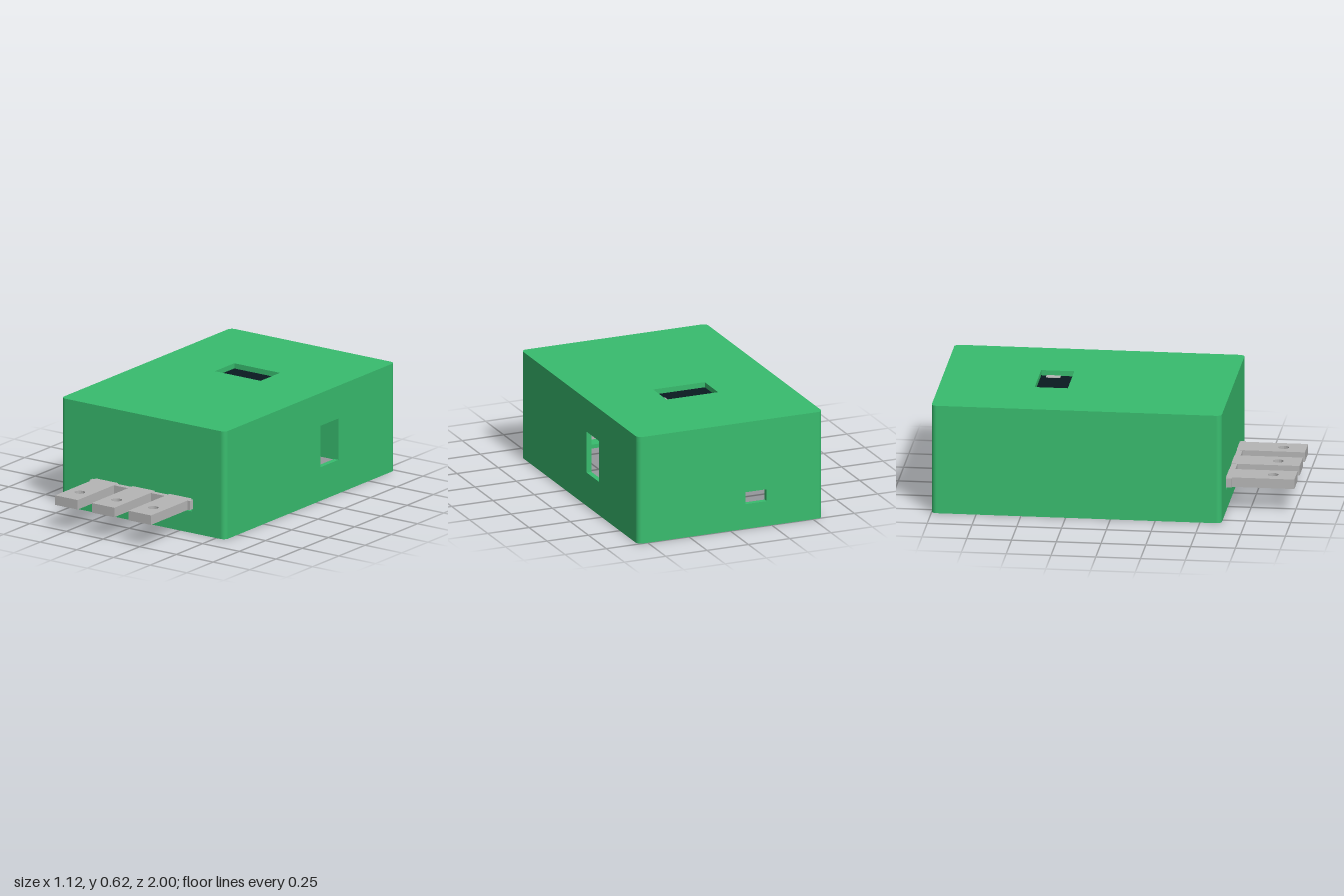
import * as THREE from 'three';

const green = new THREE.MeshStandardMaterial({ color: 0x38bc6e });
green.name = 'green plastic';
const gray = new THREE.MeshStandardMaterial({ color: 0xb6b6b6 });
gray.name = 'gray metal';
const black = new THREE.MeshStandardMaterial({ color: 0x0a1a20 });
black.name = 'dark display';

const T = 0.03;                    // wall thickness and corner radius
const W = 0.56, H = 0.625;         // half width, height
const BACK = -1, FRONT = 0.62;
const MID = (BACK + FRONT) / 2, HALF = (FRONT - BACK) / 2;
const BAYS = [-0.25, 0, 0.25];

function rectPath(target, x0, y0, x1, y1) {
  target.moveTo(x0, y0);
  target.lineTo(x1, y0);
  target.lineTo(x1, y1);
  target.lineTo(x0, y1);
  target.closePath();
  return target;
}

function extrude(shape, depth) {
  return new THREE.ExtrudeGeometry(shape, { depth, bevelEnabled: false, curveSegments: 8 });
}

export function createModel() {
  const model = new THREE.Group();
  model.name = 'deviceEnclosure';

  const add = (name, geometry, material) => {
    const mesh = new THREE.Mesh(geometry, material);
    mesh.name = name;
    model.add(mesh);
    return mesh;
  };
  // Box given by its minimum and maximum corners
  const box = (name, material, x0, x1, y0, y1, z0, z1) =>
    add(name, new THREE.BoxGeometry(x1 - x0, y1 - y0, z1 - z0), material)
      .position.set((x0 + x1) / 2, (y0 + y1) / 2, (z0 + z1) / 2);

  // Upright wall with rectangular openings
  const wall = (name, half, holes, x, z, turn) => {
    const shape = rectPath(new THREE.Shape(), -half, 0, half, H - T);
    holes.forEach((h) => shape.holes.push(rectPath(new THREE.Path(), ...h)));
    const mesh = add(name, extrude(shape, T), green);
    mesh.position.set(x, 0, z);
    mesh.rotation.y = turn;
  };
  wall('frontWall', W - T, BAYS.map((x) => [x - 0.08, 0.125, x + 0.08, 0.2]), 0, FRONT - T, 0);
  wall('backWall', W - T, [[0.09, 0.145, 0.22, 0.215]], 0, BACK + T, Math.PI);
  wall('leftWall', HALF - T, [[0.1, 0.195, 0.27, 0.435]], W - T, MID, Math.PI / 2);
  wall('rightWall', HALF - T, [], -W + T, MID, -Math.PI / 2);

  // Rounded corner posts
  [[1, 1], [1, -1], [-1, -1], [-1, 1]].forEach(([sx, sz], i) => {
    const post = new THREE.CylinderGeometry(T, T, H - T, 8, 1, false, i * Math.PI / 2, Math.PI / 2);
    add('cornerPost', post, green)
      .position.set(sx * (W - T), (H - T) / 2, MID + sz * (HALF - T));
  });

  // Roof with rounded corners and a display window
  const roof = new THREE.Shape();
  const cx = W - T, cy = HALF - T;
  roof.absarc(cx, cy, T, 0, Math.PI / 2);
  roof.absarc(-cx, cy, T, Math.PI / 2, Math.PI);
  roof.absarc(-cx, -cy, T, Math.PI, Math.PI * 1.5);
  roof.absarc(cx, -cy, T, Math.PI * 1.5, Math.PI * 2);
  roof.holes.push(rectPath(new THREE.Path(), -0.157, MID + 0.285, 0.155, MID + 0.47));
  const roofMesh = add('roof', extrude(roof, T), green);
  roofMesh.rotation.x = -Math.PI / 2;
  roofMesh.position.set(0, H - T, MID);

  // Display under the window
  box('display', black, -0.19, 0.19, 0.57, 0.594, -0.52, -0.18);
  box('displayContact', gray, 0.117, 0.154, 0.592, 0.598, -0.44, -0.36);

  // Terminal tray inside the front wall
  box('trayFloor', green, -0.375, 0.375, 0.105, 0.125, 0.32, FRONT - T);
  [-0.36, -0.125, 0.125, 0.36].forEach((x) =>
    box('trayDivider', green, x - 0.015, x + 0.015, 0.125, 0.22, 0.32, FRONT - T));
  BAYS.forEach((x) => {
    box('clipPlate', green, x - 0.06, x + 0.06, 0.235, 0.25, 0.36, FRONT - T);
    box('clipHook', green, x - 0.06, x + 0.06, 0.205, 0.235, 0.36, 0.38);
  });

  // Snap ridges for the bottom cover
  [-1, 1].forEach((s) => [-0.43, 0.11].forEach((z) => {
    const x = s * (W - T - 0.004);
    box('snapRidge', green, x - 0.008, x + 0.008, 0.035, 0.055, z - 0.05, z + 0.05);
  }));

  // Terminal prongs with blind screw holes
  BAYS.forEach((x) => {
    const y0 = 0.14, split = 0.165, top = 0.195;
    box('prongBase', gray, x - 0.077, x + 0.077, y0, split, 0.36, 1);
    const plate = rectPath(new THREE.Shape(), -0.077, -1, 0.077, -0.36);
    const hole = new THREE.Path();
    hole.absarc(0, -0.872, 0.03, 0, Math.PI * 2);
    plate.holes.push(hole);
    const mesh = add('prongTop', extrude(plate, top - split), gray);
    mesh.rotation.x = -Math.PI / 2;
    mesh.position.set(x, split, 0);
  });

  // Cross bar joining the prongs outside the case
  box('prongCrossBar', gray, -0.343, 0.343, 0.141, 0.194, FRONT, 0.652);

  return model;
}
